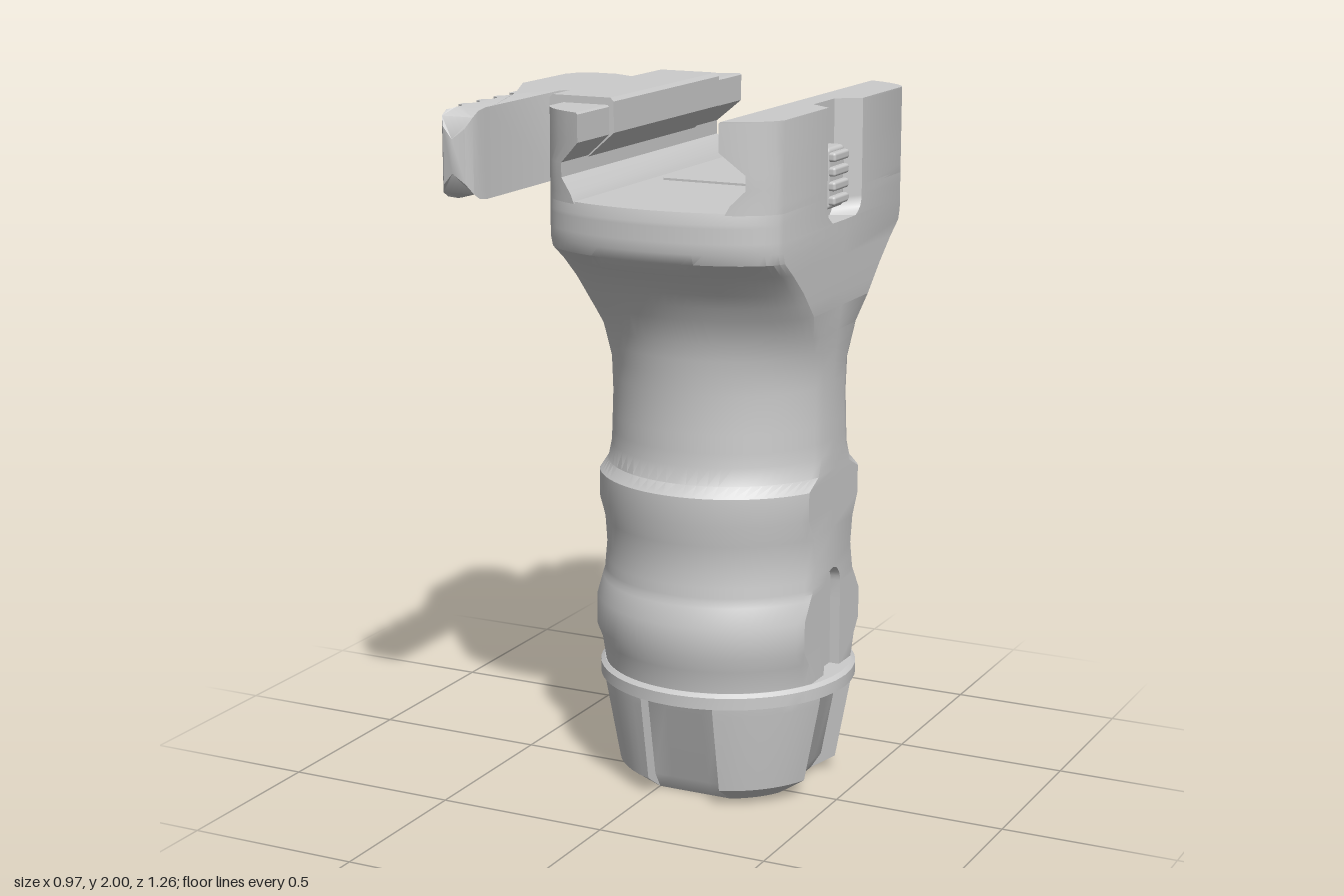
import * as THREE from 'three';
import { toCreasedNormals } from 'three/addons/utils/BufferGeometryUtils.js';
import { RoundedBoxGeometry } from 'three/addons/geometries/RoundedBoxGeometry.js';

const CX = 0.113, CZ = -0.09; // grip axis
const material = new THREE.MeshStandardMaterial({ color: 0xcccccc, side: THREE.DoubleSide });

function addMesh(group, name, geometry, x = 0, y = 0, z = 0) {
  const mesh = new THREE.Mesh(geometry, material);
  mesh.name = name;
  mesh.position.set(x, y, z);
  group.add(mesh);
  return mesh;
}

// Skin a stack of rings; each ring is { y, pts: [[u, v], ...] }, v pointing to the back
function loft(rings, crease = 0.5) {
  const n = rings[0].pts.length, pos = [], idx = [];
  for (const { y, pts } of rings) for (const [u, v] of pts) pos.push(u + CX, y, -v + CZ);
  for (let i = 0; i < rings.length - 1; i++) {
    for (let j = 0; j < n; j++) {
      const a = i * n + j, b = i * n + (j + 1) % n;
      idx.push(a, b, b + n, a, b + n, a + n);
    }
  }
  for (const [k, flip] of [[0, true], [rings.length - 1, false]]) {
    const contour = rings[k].pts.map(([u, v]) => new THREE.Vector2(u, v));
    for (const [a, b, c] of THREE.ShapeUtils.triangulateShape(contour, [])) {
      const o = k * n;
      idx.push(o + a, o + (flip ? c : b), o + (flip ? b : c));
    }
  }
  const geo = new THREE.BufferGeometry();
  geo.setAttribute('position', new THREE.Float32BufferAttribute(pos, 3));
  geo.setIndex(idx);
  return toCreasedNormals(geo, crease);
}

// Grip sections: y, flat half width, arc half width, arc centre offset, half depth
const KEYS = [
  [0.35, 0.327, 0.355, 0, 0.355], [0.42, 0.327, 0.365, 0, 0.365], [0.46, 0.327, 0.38, 0, 0.38],
  [0.55, 0.327, 0.38, 0, 0.38], [0.62, 0.327, 0.357, 0, 0.357], [0.70, 0.327, 0.35, 0, 0.35],
  [0.78, 0.327, 0.355, 0, 0.355], [0.84, 0.327, 0.37, 0, 0.37], [0.92, 0.327, 0.37, 0, 0.37],
  [0.95, 0.327, 0.345, 0, 0.345], [1.00, 0.325, 0.335, 0, 0.335], [1.15, 0.322, 0.33, 0, 0.33],
  [1.25, 0.324, 0.333, 0, 0.335], [1.35, 0.333, 0.343, 0.05, 0.35], [1.42, 0.342, 0.352, 0.13, 0.38],
  [1.50, 0.345, 0.352, 0.23, 0.425], [1.56, 0.346, 0.352, 0.31, 0.48], [1.60, 0.347, 0.352, 0.37, 0.53],
  [1.63, 0.347, 0.352, 0.38, 0.543], [1.71, 0.347, 0.352, 0.38, 0.543], [1.74, 0.347, 0.352, 0.38, 0.535],
];

function sectionAt(y) {
  let i = 0;
  while (i < KEYS.length - 2 && y > KEYS[i + 1][0]) i++;
  const a = KEYS[i], b = KEYS[i + 1];
  const t = THREE.MathUtils.clamp((y - a[0]) / (b[0] - a[0]), 0, 1);
  return a.slice(1).map((v, k) => THREE.MathUtils.lerp(v, b[k + 1], t));
}

// Recess in a flat side: [outer half width, inner half width, depth]
function dent(y, hasPocket) {
  if (y <= 0.66) {
    const s = Math.max(0, y - 0.605);
    const h = Math.max(0.001, Math.sqrt(Math.max(0, 0.055 ** 2 - s * s)));
    return [h, h, 0.03];
  }
  if (hasPocket && y >= 1.66) {
    const h = 0.12 - 0.04 * Math.max(0, (1.7 - y) / 0.04) ** 2;
    return [h, h * 0.6, 0.065];
  }
  return [0.001, 0.001, 0];
}

function flatSide(w, y, hasPocket) {
  const [h, i, k] = dent(y, hasPocket);
  return [[w, -h], [w - k, -i], [w - k, i], [w, h]];
}

function arc([, a, f, d], t0, t1, n) {
  return Array.from({ length: n + 1 }, (_, i) => {
    const t = t0 + (t1 - t0) * i / n;
    return [a * Math.cos(t), f + (d - f) * Math.sin(t)];
  });
}

const turn = ([u, v]) => [-u, -v];

function gripRing(y) {
  const s = sectionAt(y), t0 = Math.acos(s[0] / s[1]);
  const round = arc(s, t0, Math.PI - t0, 28);
  return { y, pts: [...flatSide(s[0], y, true), ...round, ...[...flatSide(s[0], y, false), ...round].map(turn)] };
}

// One rail wall: inner face at ui, ends following the curved body outline
function railRing(y, ui, right) {
  const s = sectionAt(1.7), t0 = Math.acos(s[0] / s[1]);
  const end = arc(s, t0, Math.acos(ui / s[1]), 5);
  const pts = [...end.map(([u, v]) => [u, -v]).reverse(), ...flatSide(s[0], y, right), ...end];
  return { y, pts: right ? pts : pts.map(turn) };
}

// Round cap with four flat-bottomed notches
function capRing([y, r, depth]) {
  const pts = [], half = 0.112, e = Math.asin(half / r);
  for (let q = 0; q < 4; q++) {
    const c = Math.cos(q * Math.PI / 2), s = Math.sin(q * Math.PI / 2);
    const put = (u, v) => pts.push([u * c - v * s, u * s + v * c]);
    for (let i = 0; i <= 4; i++) {
      const t = -half + half * i / 2;
      put(Math.min(depth, Math.sqrt(r * r - t * t)), t);
    }
    for (let i = 0; i <= 10; i++) {
      const t = e + (Math.PI / 2 - 2 * e) * i / 10;
      put(r * Math.cos(t), r * Math.sin(t));
    }
  }
  return { y, pts };
}

function leverGeometry() {
  const outline = [[-0.485, 0.02], [-0.485, -0.23], [-0.465, -0.275], [-0.43, -0.295], [-0.35, -0.295],
    [-0.24, -0.238], [-0.22, -0.205], [-0.22, 0.05], [-0.235, 0.08], [-0.295, 0.113], [-0.305, 0.13],
    [-0.305, 0.54], [-0.305, 0.575], [-0.308, 0.6], [-0.32, 0.622], [-0.355, 0.631], [-0.388, 0.62], [-0.402, 0.6]];
  // finger scallops along the outer edge
  for (let k = 0; k < 4; k++) {
    const z = 0.545 - k * 0.092;
    for (let i = 0; i <= 6; i++) {
      const t = Math.PI * i / 6;
      outline.push([-0.402 + 0.024 * Math.sin(t), z + 0.032 * Math.cos(t)]);
    }
  }
  outline.push([-0.405, 0.235], [-0.408, 0.19]);
  const shape = new THREE.Shape(outline.map(([x, z]) => new THREE.Vector2(x, -z)));
  const geo = new THREE.ExtrudeGeometry(shape, { depth: 0.244, bevelEnabled: false });
  geo.rotateX(-Math.PI / 2).translate(0, -0.122, 0);
  // round the tip when seen from the side
  const p = geo.attributes.position;
  for (let i = 0; i < p.count; i++) {
    const s = Math.max(0, p.getZ(i) - 0.54);
    const h = 0.032 + Math.sqrt(Math.max(0, 0.092 ** 2 - s * s));
    p.setY(i, Math.sign(p.getY(i)) * Math.min(0.122, h));
  }
  return toCreasedNormals(geo, 0.6);
}

export function createModel() {
  const group = new THREE.Group();
  group.name = 'foregrip';

  // End cap
  const capRows = [[0, 0.245, 0.218], [0.05, 0.315, 0.25], [0.285, 0.357, 0.295], [0.31, 0.36, 0.31],
    [0.311, 0.37, 1], [0.345, 0.37, 1], [0.355, 0.358, 1]];
  addMesh(group, 'endCap', loft(capRows.map(capRing)));

  // Handle with finger swells, side slots and flared head
  const ys = KEYS.map((k) => k[0]);
  ys.push(0.605, 0.632, 0.645, 0.654, 0.659, 0.66, 0.661, 1.04, 1.09, 1.2, 1.3, 1.46, 1.659, 1.66, 1.67, 1.68, 1.7);
  ys.sort((a, b) => a - b);
  addMesh(group, 'handle', loft(ys.map(gripRing)));

  // Rail clamp walls
  const railRows = [[1.735, 0.222], [1.76, 0.235], [1.8, 0.272], [1.84, 0.272], [1.9, 0.207], [1.975, 0.207], [1.98, 0.212]];
  for (const right of [true, false]) {
    addMesh(group, right ? 'leftRailWall' : 'rightRailWall', loft(railRows.map(([y, ui]) => railRing(y, ui, right))));
  }

  // Sliding clamp bar
  const bar = new THREE.Shape([[-0.278, 1.75], [-0.16, 1.75], [-0.16, 1.835], [-0.08, 1.905], [-0.08, 1.99],
    [-0.09, 2], [-0.268, 2], [-0.278, 1.99]].map(([x, y]) => new THREE.Vector2(x, y)));
  addMesh(group, 'clampBar', new THREE.ExtrudeGeometry(bar, { depth: 0.66, bevelEnabled: false }), 0, 0, -0.42);

  // Cam lever
  addMesh(group, 'camLever', leverGeometry(), 0, 1.874, 0);

  // Ribbed release button in its pocket
  const button = new THREE.Group();
  button.name = 'releaseButton';
  group.add(button);
  addMesh(button, 'buttonBody', new RoundedBoxGeometry(0.06, 0.17, 0.11, 2, 0.012), 0.405, 1.775, CZ);
  for (let i = 0; i < 4; i++) {
    addMesh(button, 'buttonRib', new RoundedBoxGeometry(0.03, 0.026, 0.1, 2, 0.008), 0.437, 1.715 + i * 0.04, CZ);
  }

  // Cross bolt in the channel floor and its locking lug
  addMesh(group, 'crossBolt', new THREE.BoxGeometry(0.4, 0.016, 0.105), 0.13, 1.738, CZ);
  addMesh(group, 'lockingLug', new RoundedBoxGeometry(0.07, 0.09, 0.1, 2, 0.02), 0.36, 1.775, CZ);
  return group;
}
